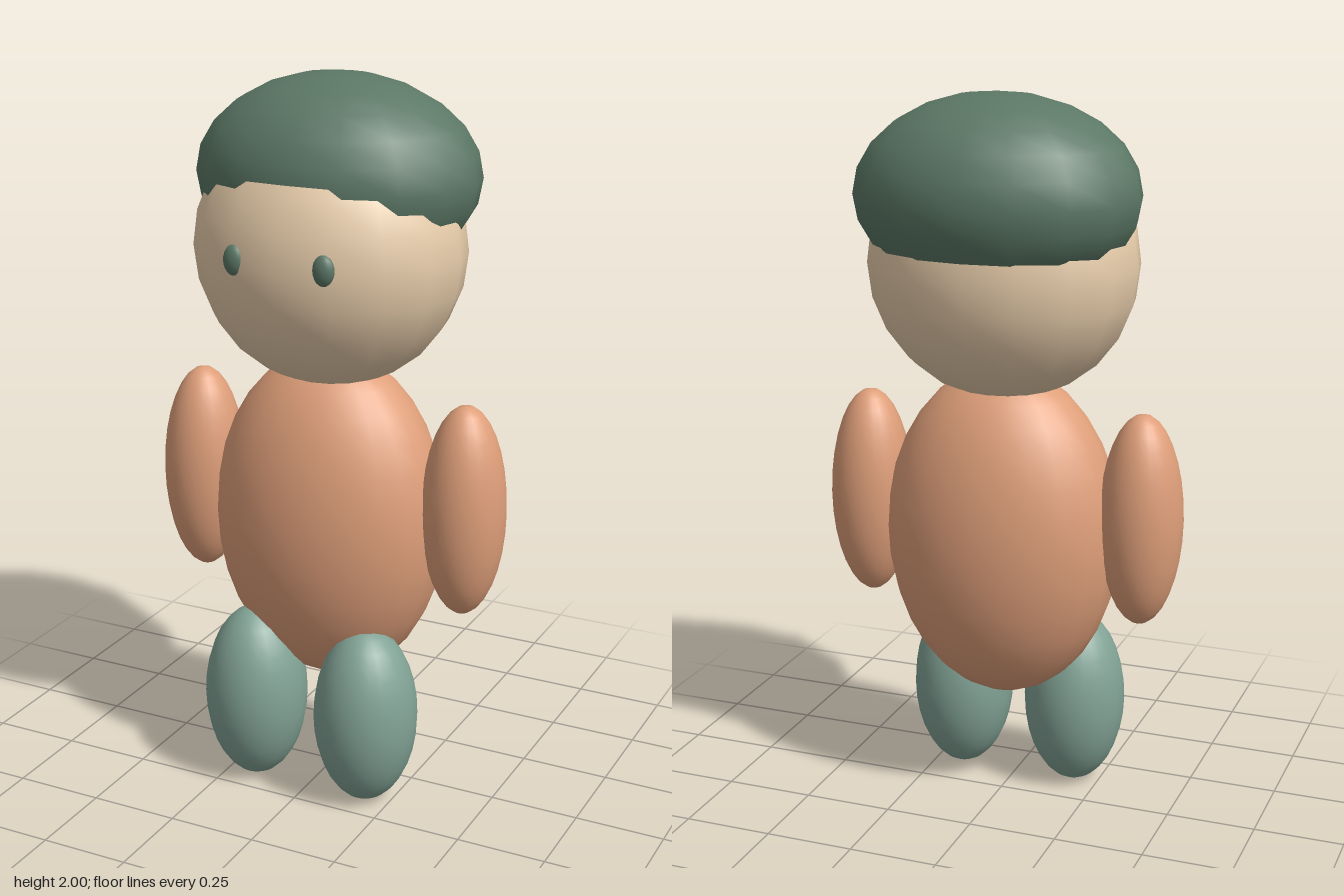
import * as THREE from 'three';

const material = (color) => new THREE.MeshStandardMaterial({ color });

export function createModel() {
  const model = new THREE.Group();
  const skin = material(0xe8cdab);
  const shirt = material(0xdf9f7a);
  const trousers = material(0x82a396);
  const dark = material(0x5c7866);
  const ball = new THREE.SphereGeometry(1, 16, 12);
  const smoothBall = new THREE.SphereGeometry(1, 24, 16);

  // One ellipsoid with the given centre and radii
  function ellipsoid(name, mat, centre, radii, geometry = ball) {
    const mesh = new THREE.Mesh(geometry, mat);
    mesh.name = name;
    mesh.position.set(...centre);
    mesh.scale.set(...radii);
    model.add(mesh);
  }

  // Torso, head and cap of hair
  ellipsoid('torso', shirt, [0, 0.783, 0.017], [0.336, 0.474, 0.248], smoothBall);
  ellipsoid('head', skin, [0, 1.54, 0.02], [0.376, 0.37, 0.325]);
  ellipsoid('hair', dark, [0, 1.73, -0.03], [0.395, 0.27, 0.315]);

  // Paired parts, mirrored in x
  for (const [side, s] of [['left', 1], ['right', -1]]) {
    ellipsoid(side + 'Arm', shirt, [s * 0.4, 0.858, 0.017], [0.115, 0.298, 0.119], smoothBall);
    ellipsoid(side + 'Leg', trousers, [s * 0.172, 0.258, 0.146], [0.145, 0.258, 0.146], smoothBall);
    ellipsoid(side + 'Eye', dark, [s * 0.127, 1.557, 0.313], [0.031, 0.042, 0.022]);
  }

  return model;
}
